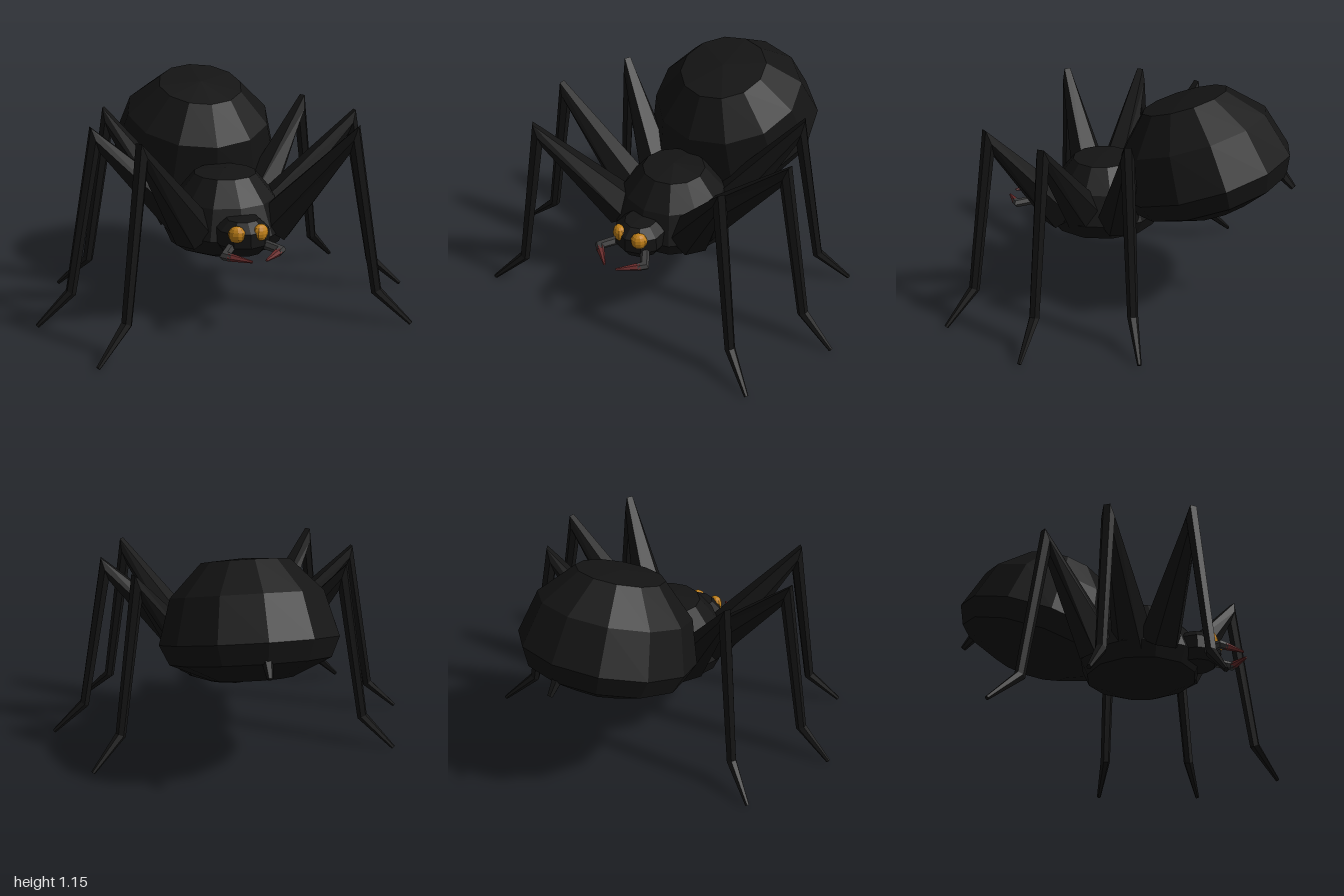
import * as THREE from 'three';

const paint = (color) => new THREE.MeshStandardMaterial({ color, flatShading: true });
const black = paint(0x141414), grey = paint(0x3c3c3c), amber = paint(0xc08018), red = paint(0x6a2c2c);

const V = (x, y, z) => new THREE.Vector3(x, y, z);

function add(parent, name, geometry, material) {
  const mesh = new THREE.Mesh(geometry, material);
  mesh.name = name;
  parent.add(mesh);
  return mesh;
}

// Faceted round body from [radius, height] pairs, bottom to top
function body(profile, sides) {
  return new THREE.LatheGeometry(profile.map(([r, y]) => new THREE.Vector2(r, y)), sides);
}

// Tapered tube along straight segments with mitred joints and closed ends
function limb(points, radii, sides = 6) {
  const dirs = points.slice(1).map((p, i) => p.clone().sub(points[i]).normalize());
  const a = V(0, 1, 0).cross(dirs[0]).normalize();
  const b = dirs[0].clone().cross(a);
  const pos = [], idx = [];
  let offsets = Array.from({ length: sides }, (_, j) => {
    const t = (j / sides) * Math.PI * 2;
    return a.clone().multiplyScalar(Math.cos(t)).addScaledVector(b, Math.sin(t));
  });
  points.forEach((p, i) => {
    const before = dirs[Math.max(i - 1, 0)], after = dirs[Math.min(i, dirs.length - 1)];
    const plane = before.clone().add(after);
    offsets = offsets.map((o) => {
      // slide onto the mitre plane, then square up to the next segment
      const m = o.clone().addScaledVector(before, -o.dot(plane) / before.dot(plane));
      pos.push(...p.clone().addScaledVector(m, radii[i]).toArray());
      return m.addScaledVector(after, -m.dot(after));
    });
    if (i === 0) return;
    for (let j = 0; j < sides; j++) {
      const k = (j + 1) % sides, lo = (i - 1) * sides, hi = i * sides;
      idx.push(lo + j, lo + k, hi + k, lo + j, hi + k, hi + j);
    }
  });
  const end = (points.length - 1) * sides;
  for (let j = 1; j < sides - 1; j++) {
    idx.push(0, j + 1, j, end, end + j, end + j + 1);
  }
  const g = new THREE.BufferGeometry();
  g.setAttribute('position', new THREE.Float32BufferAttribute(pos, 3));
  g.setIndex(idx);
  g.computeVertexNormals();
  return g;
}

export function createModel() {
  const model = new THREE.Group();
  model.name = 'spider';

  // Thorax
  add(model, 'thorax', body([
    [0, 0.32], [0.17, 0.32], [0.285, 0.37], [0.32, 0.45], [0.26, 0.6], [0.16, 0.72], [0, 0.74],
  ], 12), black).position.z = 0.215;

  // Abdomen, tilted up towards the back
  const abdomen = add(model, 'abdomen', body([
    [0, -0.195], [0.21, -0.19], [0.41, -0.1], [0.456, 0], [0.39, 0.225], [0.226, 0.39], [0, 0.405],
  ], 12), black);
  abdomen.position.set(0, 0.717, -0.355);
  abdomen.rotation.x = 0.315;

  // Spinneret
  add(model, 'spinneret', limb([V(0, 0.79, -0.72), V(0, 0.69, -0.815)], [0.035, 0.015]), black);

  // Head
  add(model, 'head', body([
    [0, 0.4], [0.1, 0.4], [0.135, 0.45], [0.13, 0.52], [0.08, 0.565], [0, 0.572],
  ], 10), black).position.z = 0.505;

  for (const side of [1, -1]) {
    const label = side > 0 ? 'left' : 'right';

    // Eyes
    const eye = add(model, label + 'Eye', new THREE.SphereGeometry(0.043, 10, 8), amber);
    eye.position.set(side * 0.06, 0.515, 0.6);
    eye.scale.set(1, 1, 0.75);
    eye.rotation.y = side * 0.5;

    // Pincers: arm outwards, fang curling inwards
    const elbow = V(side * 0.14, 0.44, 0.665);
    add(model, label + 'PincerArm', limb(
      [V(side * 0.08, 0.45, 0.58), elbow, V(side * 0.115, 0.437, 0.69)], [0.024, 0.022, 0.02]), grey);
    add(model, label + 'Fang', limb(
      [V(side * 0.125, 0.438, 0.68), V(side * 0.035, 0.432, 0.76)], [0.021, 0.006]), red);

    // Legs: hip, knee, ankle and toe; the right front leg reaches further forward
    const reach = side > 0 ? 0 : 0.04;
    const legs = {
      FrontLeg: [V(0.21, 0.47, 0.37), V(0.535 - reach / 4, 0.945, 0.605 + reach * 0.7),
        V(0.65 - reach / 2, 0.175, 0.675 + reach), V(0.805 - reach / 2, 0.015, 0.765 + reach)],
      MiddleLeg: [V(0.21, 0.47, 0.24), V(0.67, 0.945, 0.25), V(0.815, 0.175, 0.26), V(0.99, 0.015, 0.265)],
      BackLeg: [V(0.21, 0.47, 0.05), V(0.535, 0.945, -0.125), V(0.65, 0.175, -0.19), V(0.805, 0.015, -0.28)],
    };
    for (const [name, joints] of Object.entries(legs)) {
      joints.forEach((p) => { p.x *= side; });
      add(model, label + name, limb(joints, [0.11, 0.034, 0.027, 0.011]), black);
    }
  }
  return model;
}
